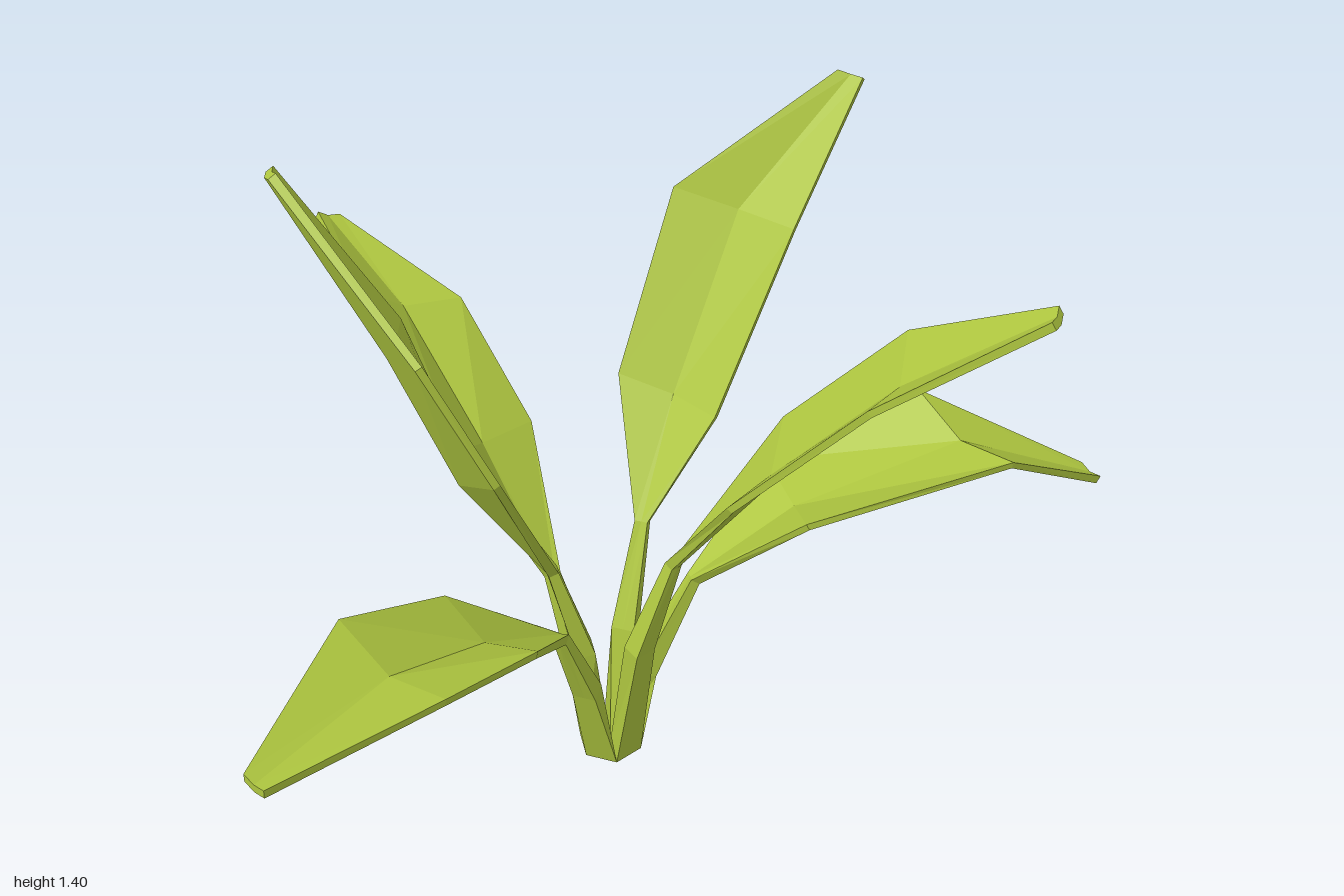
import * as THREE from 'three';

const V = (a) => new THREE.Vector3(...a);
const CENTRE = V([0.055, 0, 0.08]);
const FOOT_RADIUS = 0.07;

// Leaves in order round the foot, 60 degrees apart, starting at the back.
// Each has its stem bend, blade base, two left/right edge pairs and tip.
const LEAVES = [
  { name: 'backLeaf', bend: [0.03, 0.2, 0.01], neck: [0.01, 0.4, -0.06],
    left: [[-0.12, 0.7, -0.2], [-0.11, 0.93, -0.53]],
    right: [[0.13, 0.63, -0.27], [0.12, 0.84, -0.49]], tip: [0, 0.95, -0.8] },
  { name: 'tallLeftLeaf', bend: [0.12, 0.27, 0.05], neck: [0.19, 0.5, 0.02],
    left: [[0.26, 0.76, -0.14], [0.44, 1.12, -0.18]],
    right: [[0.33, 0.73, 0.08], [0.54, 1.09, 0.07]], tip: [0.72, 1.36, 0.03] },
  { name: 'lowLeftLeaf', bend: [0.125, 0.19, 0.11], neck: [0.21, 0.42, 0.16],
    left: [[0.44, 0.6, 0.13], [0.74, 0.72, 0.27]],
    right: [[0.3, 0.64, 0.38], [0.72, 0.69, 0.55]], tip: [0.98, 0.55, 0.56] },
  { name: 'frontLeaf', bend: [0.07, 0.3, 0.15], neck: [0.12, 0.52, 0.19],
    left: [[0.33, 0.83, 0.27], [0.44, 1.08, 0.47]],
    right: [[0.07, 0.79, 0.38], [0.2, 1.06, 0.59]], tip: [0.45, 1.25, 0.79] },
  { name: 'lowRightLeaf', bend: [-0.04, 0.22, 0.11], neck: [-0.12, 0.41, 0.12],
    left: [[-0.37, 0.66, 0.35], [-0.62, 0.72, 0.4]],
    right: [[-0.34, 0.58, 0.03], [-0.64, 0.73, 0.11]], tip: [-0.99, 0.71, 0.355] },
  { name: 'tallRightLeaf', bend: [-0.005, 0.28, 0.06], neck: [-0.065, 0.5, 0.03],
    left: [[-0.26, 0.85, 0.11], [-0.37, 1.12, 0.03]],
    right: [[-0.15, 0.74, -0.14], [-0.24, 1.06, -0.21]], tip: [-0.43, 1.39, -0.325] },
];

// Closed loop of six: left, rib and right on top, then the same underneath
function section(left, right, along, sag, thickness) {
  const normal = right.clone().sub(left).cross(along).normalize();
  const rib = left.clone().lerp(right, 0.5).addScaledVector(normal, -sag);
  const below = (p) => p.clone().addScaledVector(normal, -thickness);
  return [left, rib, right, below(right), below(rib), below(left)];
}

// Skin the loops and close both ends
function loft(rings) {
  const n = rings[0].length;
  const index = [];
  for (let i = 0; i < rings.length - 1; i++) {
    for (let j = 0; j < n; j++) {
      const a = i * n + j, b = i * n + (j + 1) % n;
      index.push(a, b, b + n, a, b + n, a + n);
    }
  }
  const end = (rings.length - 1) * n;
  for (let k = 1; k < n - 1; k++) {
    const p = (1 + k) % n, q = (2 + k) % n;
    index.push(1, q, p, end + 1, end + p, end + q);
  }
  const geometry = new THREE.BufferGeometry().setFromPoints(rings.flat());
  geometry.setIndex(index);
  geometry.computeVertexNormals();
  return geometry;
}

function leafGeometry(leaf, angle) {
  const side = new THREE.Vector3(-Math.sin(angle), 0, Math.cos(angle));
  const [bend, neck, tip] = [leaf.bend, leaf.neck, leaf.tip].map(V);
  const [l1, l2] = leaf.left.map(V);
  const [r1, r2] = leaf.right.map(V);
  const mid1 = l1.clone().lerp(r1, 0.5), mid2 = l2.clone().lerp(r2, 0.5);

  // Wedge of the six-sided foot
  const corner = (a) => new THREE.Vector3(Math.cos(a), 0, Math.sin(a)).multiplyScalar(FOOT_RADIUS).add(CENTRE);
  const footL = corner(angle - Math.PI / 6), footR = corner(angle + Math.PI / 6);
  const foot = [CENTRE, CENTRE, CENTRE, footR, footL.clone().lerp(footR, 0.5), footL];

  // Narrow section of given half width, centred on p
  const narrow = (p, across, half, along, sag, thickness) => {
    const normal = across.clone().cross(along).normalize();
    const c = p.clone().addScaledVector(normal, thickness / 2);
    return section(c.clone().addScaledVector(across, -half),
      c.clone().addScaledVector(across, half), along, sag, thickness);
  };
  const tipAcross = r2.clone().sub(l2).normalize();
  return loft([
    foot,
    narrow(bend, side, 0.025, neck.clone().sub(CENTRE), 0, 0.04),
    narrow(neck, side, 0.014, mid1.clone().sub(bend), 0.002, 0.022),
    section(l1, r1, mid2.clone().sub(neck), 0.04, 0.015),
    section(l2, r2, tip.clone().sub(mid1), 0.04, 0.015),
    narrow(tip, tipAcross, 0.027, tip.clone().sub(mid2), 0.006, 0.018),
  ]);
}

export function createModel() {
  const plant = new THREE.Group();
  plant.name = 'plant';
  const material = new THREE.MeshStandardMaterial({ color: 0xafc740, flatShading: true });
  LEAVES.forEach((leaf, i) => {
    const angle = -Math.PI / 2 + i * Math.PI / 3;
    const mesh = new THREE.Mesh(leafGeometry(leaf, angle), material);
    mesh.name = leaf.name;
    plant.add(mesh);
  });
  return plant;
}
